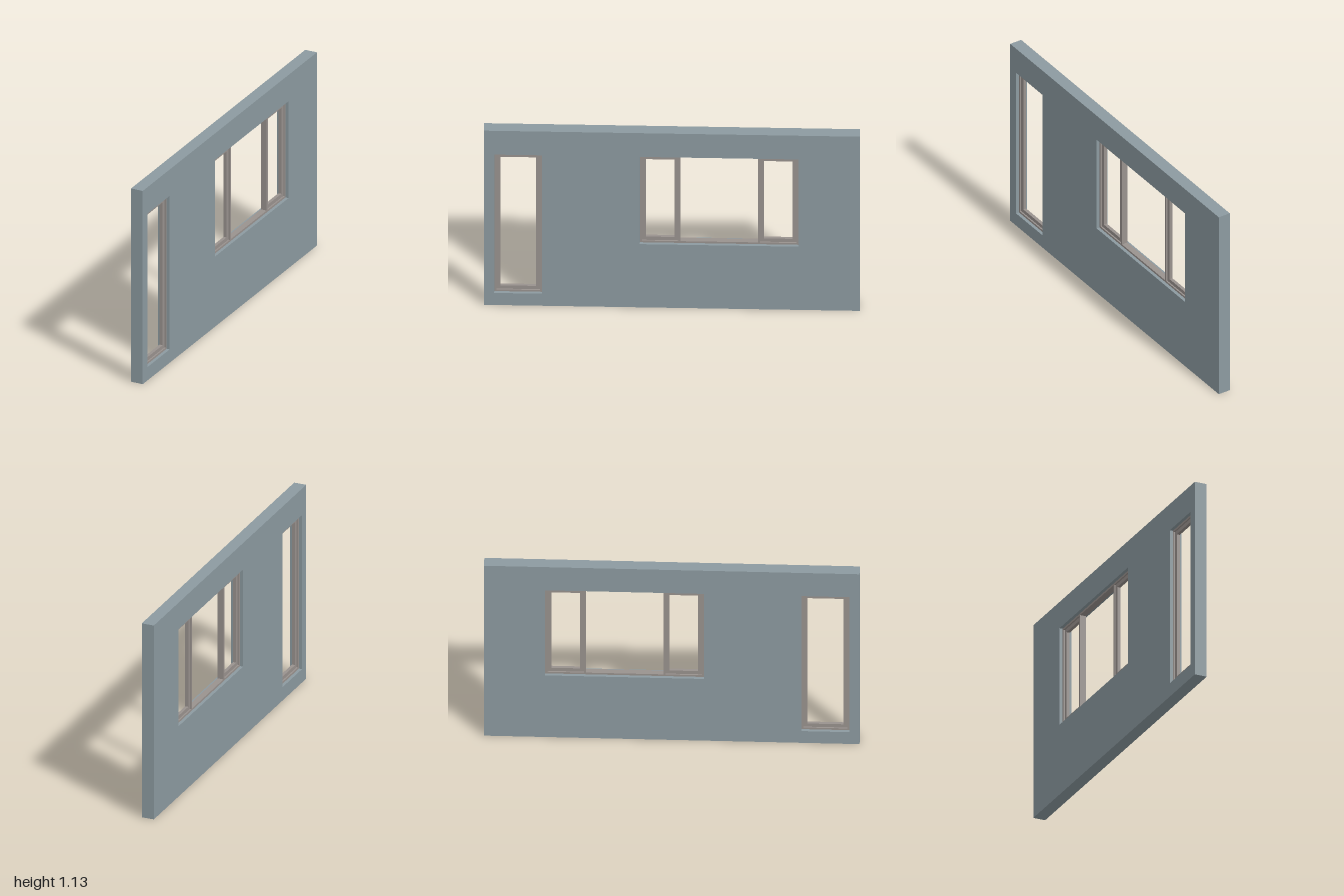
import * as THREE from 'three';

const WALL_DEPTH = 0.07, FRAME_DEPTH = 0.034, SASH_DEPTH = 0.018;
const EDGE = 0.011, SASH = 0.021;

// Rectangles are [z0, z1, y0, y1]
const door = [0.69, 0.945, 0.078, 0.976];
const win = [-0.674, 0.171, 0.41, 0.976];
const inset = ([a, b, c, d], m) => [a + m, b - m, c + m, d - m];

function trace(path, [z0, z1, y0, y1]) {
  path.moveTo(z0, y0);
  path.lineTo(z1, y0);
  path.lineTo(z1, y1);
  path.lineTo(z0, y1);
  path.closePath();
  return path;
}

// Rectangular slab in the zy plane, pierced by rectangular openings
function slab(name, outer, holes, depth, material) {
  const shape = trace(new THREE.Shape(), outer);
  shape.holes = holes.map((h) => trace(new THREE.Path(), h));
  const geo = new THREE.ExtrudeGeometry(shape, { depth, bevelEnabled: false });
  geo.translate(0, 0, -depth / 2);
  geo.rotateY(-Math.PI / 2);
  const mesh = new THREE.Mesh(geo, material);
  mesh.name = name;
  return mesh;
}

export function createModel() {
  const model = new THREE.Group();
  model.name = 'wallPanel';
  const wallMat = new THREE.MeshStandardMaterial({ color: 0x8c9aa0 });
  const frameMat = new THREE.MeshStandardMaterial({ color: 0x99928e });

  // Wall with the tall and the wide opening
  model.add(slab('wall', [-1, 1, 0, 1.13], [door, win], WALL_DEPTH, wallMat));

  // Tall narrow window
  const tall = new THREE.Group();
  tall.name = 'tallWindow';
  const tallInner = inset(door, EDGE);
  tall.add(slab('tallFrame', door, [tallInner], FRAME_DEPTH, frameMat));
  tall.add(slab('tallSash', tallInner, [inset(tallInner, SASH)], SASH_DEPTH, frameMat));
  model.add(tall);

  // Wide window: outer frame with two mullions, and a sash in each side bay
  const wide = new THREE.Group();
  wide.name = 'wideWindow';
  const [z0, z1, y0, y1] = inset(win, EDGE);
  const middle = [-0.457, -0.045, y0, y1];
  const sideBays = [[z0, middle[0] - EDGE, y0, y1], [middle[1] + EDGE, z1, y0, y1]];
  wide.add(slab('wideFrame', win, [middle, ...sideBays], FRAME_DEPTH, frameMat));
  sideBays.forEach((bay, i) => {
    wide.add(slab(i ? 'frontSash' : 'rearSash', bay, [inset(bay, SASH)], SASH_DEPTH, frameMat));
  });
  model.add(wide);

  return model;
}
